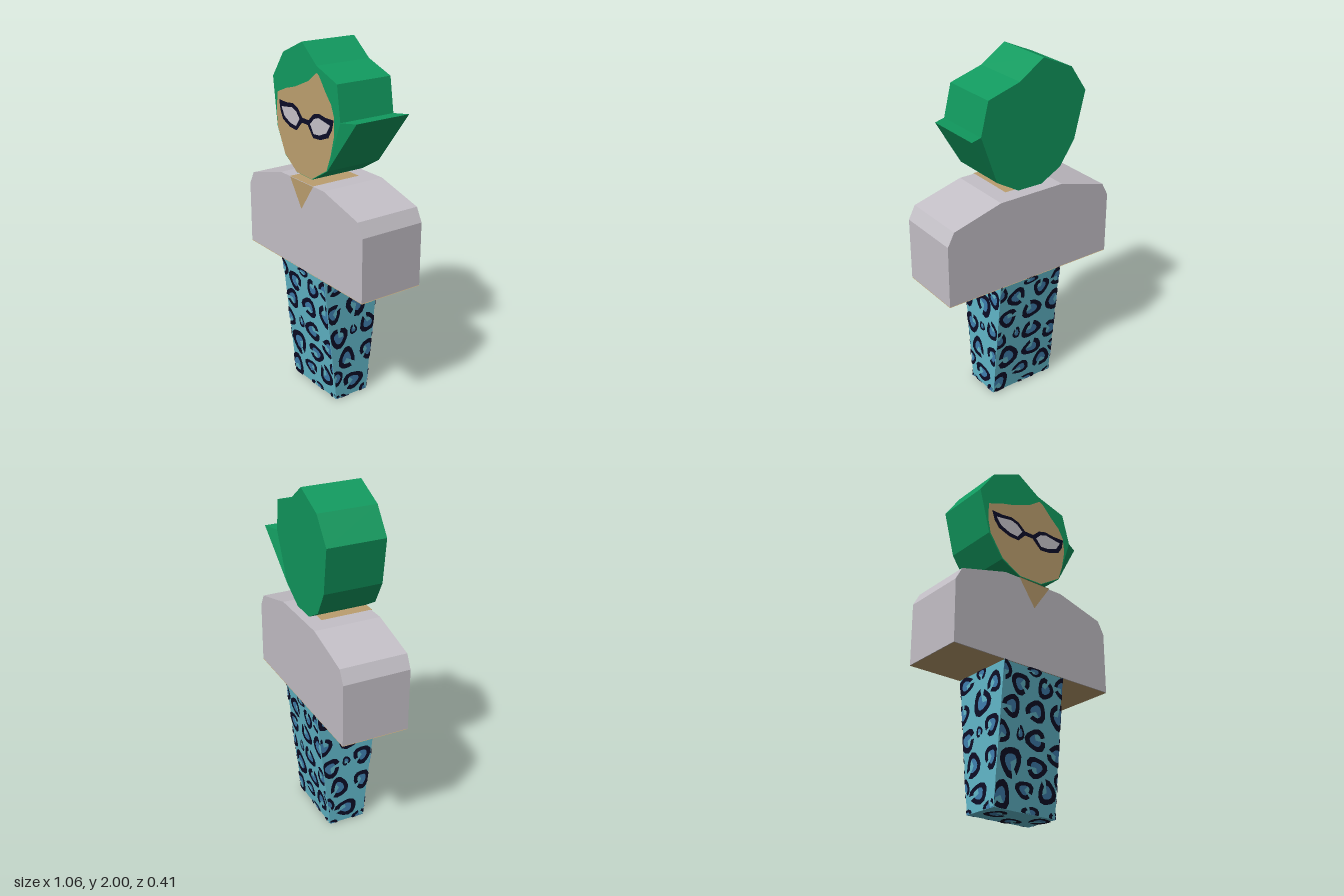
import * as THREE from 'three';

const mat = (name, color, side = THREE.FrontSide) => {
  const m = new THREE.MeshStandardMaterial({ color, side });
  m.name = name;
  return m;
};

// Flat-shaded mesh from a list of triangle corners
function triMesh(name, corners, material) {
  const g = new THREE.BufferGeometry();
  g.setAttribute('position', new THREE.Float32BufferAttribute(corners.flat(), 3));
  g.computeVertexNormals();
  const mesh = new THREE.Mesh(g, material);
  mesh.name = name;
  return mesh;
}

const triangulate = (pts) =>
  THREE.ShapeUtils.triangulateShape(pts.map(([x, y]) => new THREE.Vector2(x, y)), []);

// Prism over a counter-clockwise outline; front and back depth follow a rule
function prism(name, pts, front, back, material) {
  const F = pts.map(([x, y]) => [x, y, front(x, y)]);
  const B = pts.map(([x, y]) => [x, y, back(x, y)]);
  const out = [];
  for (const [a, b, c] of triangulate(pts)) out.push(F[a], F[b], F[c], B[a], B[c], B[b]);
  pts.forEach((_, i) => {
    const j = (i + 1) % pts.length;
    out.push(F[i], B[i], B[j], F[i], B[j], F[j]);
  });
  return triMesh(name, out, material);
}

// Flat painted patch laid on a surface given by map(u, v)
function patch(name, pts, map, material) {
  const P = pts.map(([u, v]) => map(u, v));
  return triMesh(name, triangulate(pts).flat().map((i) => P[i]), material);
}

export function createModel() {
  const model = new THREE.Group();
  model.name = 'figure';
  const hair = mat('hair green', 0x119a5f);
  const skin = mat('skin tan', 0xbb9e6e, THREE.DoubleSide);
  const shirt = mat('shirt grey', 0xc4c0c7, THREE.DoubleSide);
  const cyan = mat('trouser cyan', 0x62b9cb);
  const navy = mat('spot navy', 0x0c0c26, THREE.DoubleSide);
  const blue = mat('spot blue', 0x3f80b0, THREE.DoubleSide);

  // Head block with slightly tilted front and back
  const headF = (x, y) => 0.175 - 0.04 * (y - 1.3) + 0.03 * x;
  const headB = (x, y) => -0.16 - 0.04 * (y - 1.3) + 0.02 * x;
  const head = new THREE.Group();
  head.name = 'head';
  head.add(prism('hairBlock', [
    [-0.06, 2.0], [-0.24, 1.92], [-0.34, 1.775], [-0.285, 1.51], [-0.2, 1.37], [-0.08, 1.3],
    [0.07, 1.3], [0.205, 1.38], [0.305, 1.655], [0.265, 1.84], [0.08, 1.9],
  ], headF, headB, hair));
  head.add(prism('hairFlick', [[0.205, 1.38], [0.385, 1.66], [0.305, 1.655]],
    (x, y) => (x > 0.35 ? 0.13 : headF(x, y)),
    (x, y) => (x > 0.35 ? -0.205 : headB(x, y)), hair));

  // Face and glasses painted on the head front
  const onFace = (e) => (x, y) => [x, y, headF(x, y) + e];
  head.add(patch('face', [
    [0.09, 1.866], [0.075, 1.857], [0.01, 1.81], [-0.11, 1.76], [-0.2, 1.735], [-0.285, 1.7],
    [-0.292, 1.6], [-0.278, 1.51], [-0.198, 1.375], [-0.08, 1.303], [0.07, 1.303], [0.203, 1.383],
    [0.235, 1.47], [0.26, 1.58], [0.255, 1.67], [0.225, 1.73], [0.17, 1.785], [0.11, 1.855],
  ], onFace(0.003), skin));
  const rim = [
    [-0.265, 1.662], [-0.25, 1.605], [-0.222, 1.562], [-0.15, 1.535], [-0.085, 1.53],
    [-0.035, 1.582], [-0.035, 1.612], [-0.08, 1.654], [-0.13, 1.668], [-0.19, 1.66],
  ];
  const lens = [
    [-0.237, 1.63], [-0.205, 1.583], [-0.145, 1.558], [-0.09, 1.553],
    [-0.055, 1.598], [-0.09, 1.632], [-0.13, 1.646], [-0.18, 1.638],
  ];
  const flip = (pts) => pts.map(([x, y]) => [-0.01 - x, y - 0.004]).reverse();
  for (const [side, f] of [['right', (p) => p], ['left', flip]]) {
    head.add(patch(side + 'Rim', f(rim), onFace(0.005), navy));
    head.add(patch(side + 'Lens', f(lens), onFace(0.007), shirt));
  }
  head.add(patch('glassesBridge', [[-0.045, 1.583], [0.035, 1.583], [0.035, 1.61], [-0.045, 1.61]],
    onFace(0.005), navy));
  model.add(head);

  // Shirt block with sloping shoulders
  const torso = new THREE.Group();
  torso.name = 'torso';
  torso.add(prism('shirt', [
    [-0.53, 0.765], [0.53, 0.765], [0.53, 1.12], [0.49, 1.195],
    [0.2, 1.275], [-0.2, 1.275], [-0.49, 1.195], [-0.53, 1.12],
  ], () => 0.198, () => -0.187, shirt));
  torso.add(patch('neckline', [[0, 1.12], [0.11, 1.275], [-0.105, 1.275]],
    (x, y) => [x, y, 0.201], skin));
  torso.add(patch('neckTop', [[-0.105, -0.201], [0.11, -0.201], [0.11, 0.1], [-0.105, 0.1]],
    (x, w) => [x, 1.278, -w], skin));
  torso.add(patch('shirtUnderside', [[-0.53, -0.187], [0.53, -0.187], [0.53, 0.198], [-0.53, 0.198]],
    (x, z) => [x, 0.762, z], skin));
  model.add(torso);

  // Tapered trouser block
  const H = 0.765, X0 = -0.205, X1 = 0.2;
  const zF = (y) => 0.113 + (0.082 * y) / H;
  const zB = (y) => -0.098 - (0.082 * y) / H;
  const legs = new THREE.Group();
  legs.name = 'legs';
  legs.add(prism('trousers', [[X0, 0.006], [X1, 0.006], [X1, H], [X0, H]],
    (x, y) => zF(y), (x, y) => zB(y), cyan));

  // Rosettes: broken navy rings with a blue patch, kept within each face
  const clamp = THREE.MathUtils.clamp;
  const cx = (u) => clamp(u, X0, X1), cy = (v) => clamp(v, 0.006, H);
  const cz = (w, v) => clamp(w, zB(v), zF(v));
  const faces = {
    front: (e) => (u, v) => [cx(u), cy(v), zF(cy(v)) + e],
    back: (e) => (u, v) => [cx(-u), cy(v), zB(cy(v)) - e],
    left: (e) => (u, v) => [X1 + e, cy(v), cz(u, cy(v))],
    right: (e) => (u, v) => [X0 - e, cy(v), cz(-u, cy(v))],
    bottom: (e) => (u, v) => [cx(u), 0.006 - e, cz(v, 0)],
  };
  const wide = [
    [-0.09, 0.66, 0.06, 0.06], [0.08, 0.67, 0.053, 0.058], [0.19, 0.7, 0.045, 0.06],
    [-0.2, 0.71, 0.045, 0.06], [-0.14, 0.53, 0.058, 0.062], [0.025, 0.535, 0.068, 0.06],
    [0.18, 0.54, 0.055, 0.075], [-0.19, 0.385, 0.05, 0.06], [0.035, 0.385, 0.07, 0.058],
    [0.18, 0.33, 0.06, 0.06], [-0.12, 0.245, 0.068, 0.08], [0.05, 0.245, 0.07, 0.055],
    [0.21, 0.2, 0.035, 0.05], [-0.17, 0.07, 0.06, 0.075], [-0.02, 0.12, 0.06, 0.045],
    [0.13, 0.13, 0.06, 0.065], [0.03, 0.01, 0.06, 0.035], [0.2, 0.01, 0.05, 0.03],
    [-0.07, 0.4, 0.025, 0.04], [0.0, 0.745, 0.05, 0.025],
  ];
  const narrow = [
    [0.12, 0.71, 0.065, 0.05], [-0.02, 0.575, 0.07, 0.075], [0.14, 0.55, 0.05, 0.06],
    [-0.12, 0.66, 0.055, 0.06], [0.1, 0.395, 0.06, 0.065], [-0.1, 0.435, 0.055, 0.06],
    [0.045, 0.25, 0.055, 0.07], [-0.1, 0.265, 0.05, 0.065], [0, 0.095, 0.07, 0.055],
    [0.11, 0.14, 0.035, 0.05], [-0.09, 0.01, 0.05, 0.04], [0.09, 0.0, 0.04, 0.03],
    [-0.01, 0.74, 0.04, 0.035], [0.0, 0.42, 0.025, 0.03],
  ];
  const sole = [[-0.12, 0.03, 0.06, 0.06], [0.03, -0.04, 0.06, 0.05], [0.15, 0.05, 0.06, 0.06]];
  const layout = { front: wide, back: wide, left: narrow, right: narrow, bottom: sole };
  let seed = 7;
  const rand = () => (seed = (seed * 16807) % 2147483647) / 2147483647;
  const N = 14;
  for (const [side, spots] of Object.entries(layout)) {
    const rings = [], cores = [];
    const top = faces[side](0.005), low = faces[side](0.003);
    for (const [u, v, rx, ry] of spots) {
      const phase = rand() * 6.28, gap = Math.floor(rand() * N);
      const at = (i, k) => {
        const a = ((i % N) / N) * Math.PI * 2;
        const r = k * (1 + 0.1 * Math.sin(3 * a + phase));
        return [u + rx * r * Math.cos(a), v + ry * r * Math.sin(a)];
      };
      for (let i = 0; i < N; i++) {
        const p = [at(i, 0.55), at(i, 1), at(i + 1, 1), at(i + 1, 0.55)].map((q) => top(...q));
        if (i !== gap) rings.push(p[0], p[1], p[2], p[0], p[2], p[3]);
        // Blue fills the part of the centre away from the gap
        if ((i - gap + N) % N > 3) {
          cores.push(low(u, v), low(...at(i, 0.6)), low(...at(i + 1, 0.6)));
        }
      }
    }
    legs.add(triMesh(side + 'SpotRings', rings, navy), triMesh(side + 'SpotCentres', cores, blue));
  }
  model.add(legs);
  return model;
}
